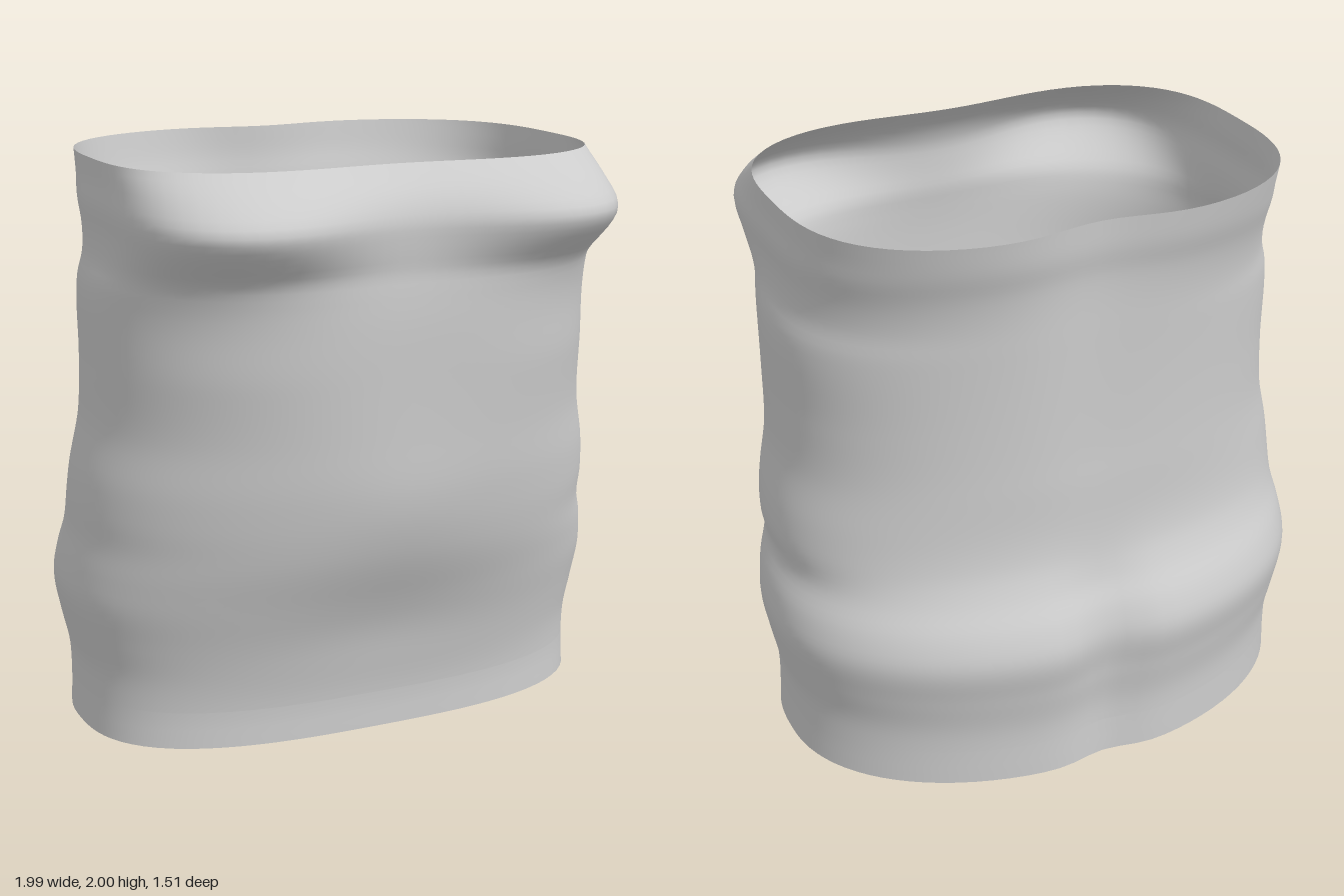
import * as THREE from 'three';

// Smooth value along the height, from [y, value] keys
function track(...keys) {
  const curve = new THREE.CubicInterpolant(keys.map(k => k[0]), keys.map(k => k[1]), 1, new Float32Array(1));
  return y => curve.evaluate(y)[0];
}

// Half width at the sides
const halfWidth = track([0, 0.947], [0.13, 0.942], [0.24, 0.945], [0.36, 0.97], [0.5, 0.993], [0.6, 0.983], [0.71, 0.963],
  [0.82, 0.957], [0.93, 0.945], [1.1, 0.91], [1.3, 0.9], [1.58, 0.895], [1.66, 0.872], [1.75, 0.866], [1.85, 0.873], [1.92, 0.867], [2, 0.867]);
// Depth position of the widest point
const middle = track([0, -0.1], [0.5, -0.1], [0.8, -0.04], [1.3, 0], [2, 0]);
// Front and back surfaces
const front = track([0, 0.43], [0.13, 0.43], [0.3, 0.465], [0.5, 0.53], [0.7, 0.6], [0.9, 0.643], [1.1, 0.67], [1.3, 0.695],
  [1.5, 0.715], [1.6, 0.712], [1.66, 0.71], [1.71, 0.75], [1.77, 0.795], [1.83, 0.815], [1.91, 0.745], [2, 0.61]);
const back = track([0, -0.73], [0.2, -0.728], [0.35, -0.75], [0.5, -0.77], [0.6, -0.735], [0.7, -0.67], [0.8, -0.627],
  [1.1, -0.605], [1.6, -0.605], [1.8, -0.62], [1.9, -0.645], [2, -0.66]);
// Squareness of the front and back curves
const frontPower = track([0, 2.8], [0.2, 2.75], [0.5, 2.5], [0.9, 2.3], [1.3, 2.3], [1.6, 2.45], [1.7, 3.2], [1.8, 3.9], [1.9, 3.6], [2, 3]);
const backPower = track([0, 2.1], [0.5, 2.15], [1.3, 2.3], [1.7, 2.4], [2, 2.8]);
// Hollows along the centre line
const frontDip = track([0, 0], [0.7, 0], [1, 0.01], [1.3, 0.04], [1.5, 0.057], [1.6, 0.058], [1.66, 0.06], [1.71, 0.095],
  [1.77, 0.135], [1.83, 0.155], [1.91, 0.12], [2, 0.07]);
const backDip = track([0, 0.04], [0.3, 0.05], [0.5, 0.06], [0.65, 0.04], [0.8, 0.01], [1.2, 0.012], [1.7, 0.03], [2, 0.06]);

const bump = (d, width) => Math.exp(-(d * d) / (width * width));

// One point of the wall at angle t and height y
function wallPoint(t, y) {
  const c = Math.cos(t), s = Math.sin(t), isFront = s > 0;
  const n = isFront ? frontPower(y) : backPower(y);
  const r = Math.pow(Math.pow(Math.abs(c), n) + Math.pow(Math.abs(s), n), -1 / n);
  // the left side has a pinch above the hip
  const pinch = c > 0 ? 0.02 * Math.pow(c, 6) * bump(y - 0.72, 0.07) : 0;
  const x = halfWidth(y) * r * c - pinch;
  const zc = middle(y);
  let z = zc + r * Math.abs(s) * ((isFront ? front(y) : back(y)) - zc);
  if (isFront) {
    z -= s * frontDip(y) * bump(x, 0.42);
    // soft belly fold
    z += s * 0.012 * bump(x, 0.25) * bump(y - 0.85, 0.18);
    z -= s * 0.015 * bump(x, 0.4) * bump(y - 0.42, 0.15);
  } else {
    z -= s * backDip(y) * bump(x, y < 0.8 ? 0.13 : 0.13 + 0.08 * (y - 0.8));
  }
  return [x, y, z];
}

// Open ring of cloth between two heights
function band(name, y0, y1, rows, sides = 96) {
  const pos = [], index = [];
  for (let j = 0; j <= rows; j++) {
    for (let i = 0; i < sides; i++) {
      pos.push(...wallPoint((i / sides) * Math.PI * 2, y0 + ((y1 - y0) * j) / rows));
      if (j === rows) continue;
      const a = j * sides + i, b = j * sides + ((i + 1) % sides);
      index.push(a, a + sides, b, b, a + sides, b + sides);
    }
  }
  const geo = new THREE.BufferGeometry();
  geo.setAttribute('position', new THREE.Float32BufferAttribute(pos, 3));
  geo.setIndex(index);
  geo.computeVertexNormals();
  const mesh = new THREE.Mesh(geo, new THREE.MeshStandardMaterial({ color: 0xcccccc, side: THREE.DoubleSide }));
  mesh.name = name;
  return mesh;
}

export function createModel() {
  const group = new THREE.Group();
  group.name = 'tubeGarment';
  group.add(band('garmentBody', 0.13, 2, 75));
  group.add(band('bottomHem', 0, 0.13, 4));
  return group;
}
